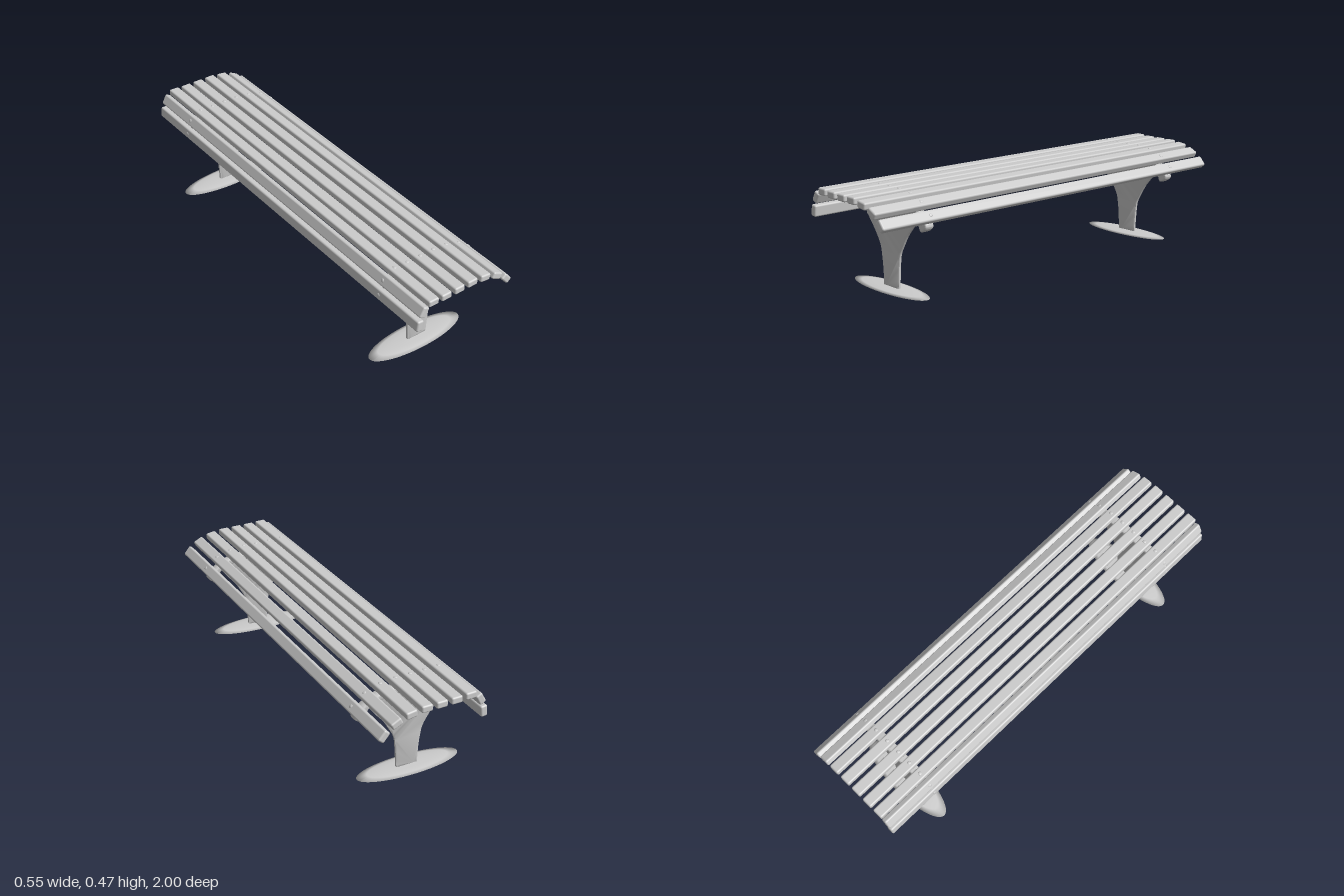
import * as THREE from 'three';
import { toCreasedNormals } from 'three/addons/utils/BufferGeometryUtils.js';
import { RoundedBoxGeometry } from 'three/addons/geometries/RoundedBoxGeometry.js';

const material = new THREE.MeshStandardMaterial({ color: 0xcccccc });

function addMesh(parent, name, geometry) {
  const mesh = new THREE.Mesh(geometry, material);
  mesh.name = name;
  parent.add(mesh);
  return mesh;
}

// Smooth outline through one or more runs of points, sharp where the runs meet
function outline(...runs) {
  const points = runs.flatMap(run =>
    new THREE.SplineCurve(run.map(([x, y]) => new THREE.Vector2(x, y))).getPoints(run.length * 4));
  return new THREE.Shape(points.filter((p, i) => i === 0 || p.distanceTo(points[i - 1]) > 1e-4));
}

// Plate of the given total thickness, centred on z = 0, with softened edges
function plate(shape, thickness, bevelThickness, bevelSize, bevelSegments) {
  const depth = thickness - 2 * bevelThickness;
  const geometry = new THREE.ExtrudeGeometry(shape, {
    depth, bevelThickness, bevelSize, bevelOffset: -bevelSize, bevelSegments, steps: 1,
  });
  geometry.translate(0, 0, -depth / 2);
  return toCreasedNormals(geometry, 0.6);
}

// Slat centres in the x-y plane and their tilt in degrees
const SLATS = [
  [-0.221, 0.358, 84], [-0.202, 0.42, 62], [-0.154, 0.450, -1],
  [-0.086, 0.447, 0], [-0.016, 0.447, 0], [0.054, 0.447, 0],
  [0.125, 0.439, -8], [0.193, 0.416, -27], [0.25, 0.373, -50],
];
const SLAT_WIDTH = 0.052, SLAT_HEIGHT = 0.032, SUPPORT_Z = 0.747;

function createSupport() {
  const support = new THREE.Group();
  support.name = 'support';

  // Thin elliptical foot, slightly domed above and below
  const foot = addMesh(support, 'foot', new THREE.LatheGeometry([
    [0, 0.002], [0.12, 0.003], [0.2, 0.006], [0.25, 0.010],
    [0.2, 0.015], [0.12, 0.018], [0, 0.019],
  ].map(([r, y]) => new THREE.Vector2(r, y)), 48));
  foot.position.x = -0.021;
  foot.scale.z = 0.3;

  // Flared pedestal
  const pedestal = outline(
    [[-0.065, 0.014], [0.038, 0.014]],
    [[0.038, 0.014], [0.045, 0.11], [0.053, 0.17], [0.076, 0.215],
      [0.107, 0.265], [0.15, 0.315], [0.185, 0.362]],
    [[0.185, 0.362], [0.11, 0.41], [-0.2, 0.412], [-0.214, 0.395]],
    [[-0.214, 0.395], [-0.2, 0.355], [-0.163, 0.303], [-0.118, 0.248],
      [-0.086, 0.196], [-0.075, 0.15], [-0.068, 0.09], [-0.065, 0.014]],
  );
  addMesh(support, 'pedestal', plate(pedestal, 0.018, 0.004, 0.006, 1));

  // Curved rail that carries the slats
  const rail = outline(
    [[-0.217, 0.402], [-0.15, 0.393], [-0.05, 0.394], [0.04, 0.394],
      [0.11, 0.386], [0.18, 0.363], [0.198, 0.335], [0.209, 0.308],
      [0.222, 0.304], [0.25, 0.319], [0.255, 0.339], [0.235, 0.362],
      [0.2, 0.387], [0.15, 0.412], [0.08, 0.426], [0, 0.431],
      [-0.15, 0.431], [-0.2, 0.434], [-0.215, 0.418], [-0.217, 0.402]],
  );
  addMesh(support, 'rail', plate(rail, 0.045, 0.012, 0.009, 4));
  return support;
}

export function createModel() {
  const bench = new THREE.Group();
  bench.name = 'bench';

  for (const z of [-SUPPORT_Z, SUPPORT_Z]) {
    const support = createSupport();
    support.position.z = z;
    bench.add(support);
  }

  // Long slats following the rail, each bolted down at both supports
  const slatGeometry = new RoundedBoxGeometry(SLAT_WIDTH, SLAT_HEIGHT, 2, 3, 0.008);
  const boltGeometry = new THREE.SphereGeometry(0.009, 12, 4, 0, Math.PI * 2, 0, Math.PI / 2);
  boltGeometry.scale(1, 0.4, 1);
  for (const [x, y, tilt] of SLATS) {
    const group = new THREE.Group();
    group.name = 'slatWithBolts';
    group.position.set(x, y, 0);
    group.rotation.z = THREE.MathUtils.degToRad(tilt);
    addMesh(group, 'slat', slatGeometry);
    for (const z of [-SUPPORT_Z, SUPPORT_Z]) {
      addMesh(group, 'bolt', boltGeometry).position.set(0, SLAT_HEIGHT / 2 - 0.0005, z);
    }
    bench.add(group);
  }
  return bench;
}
